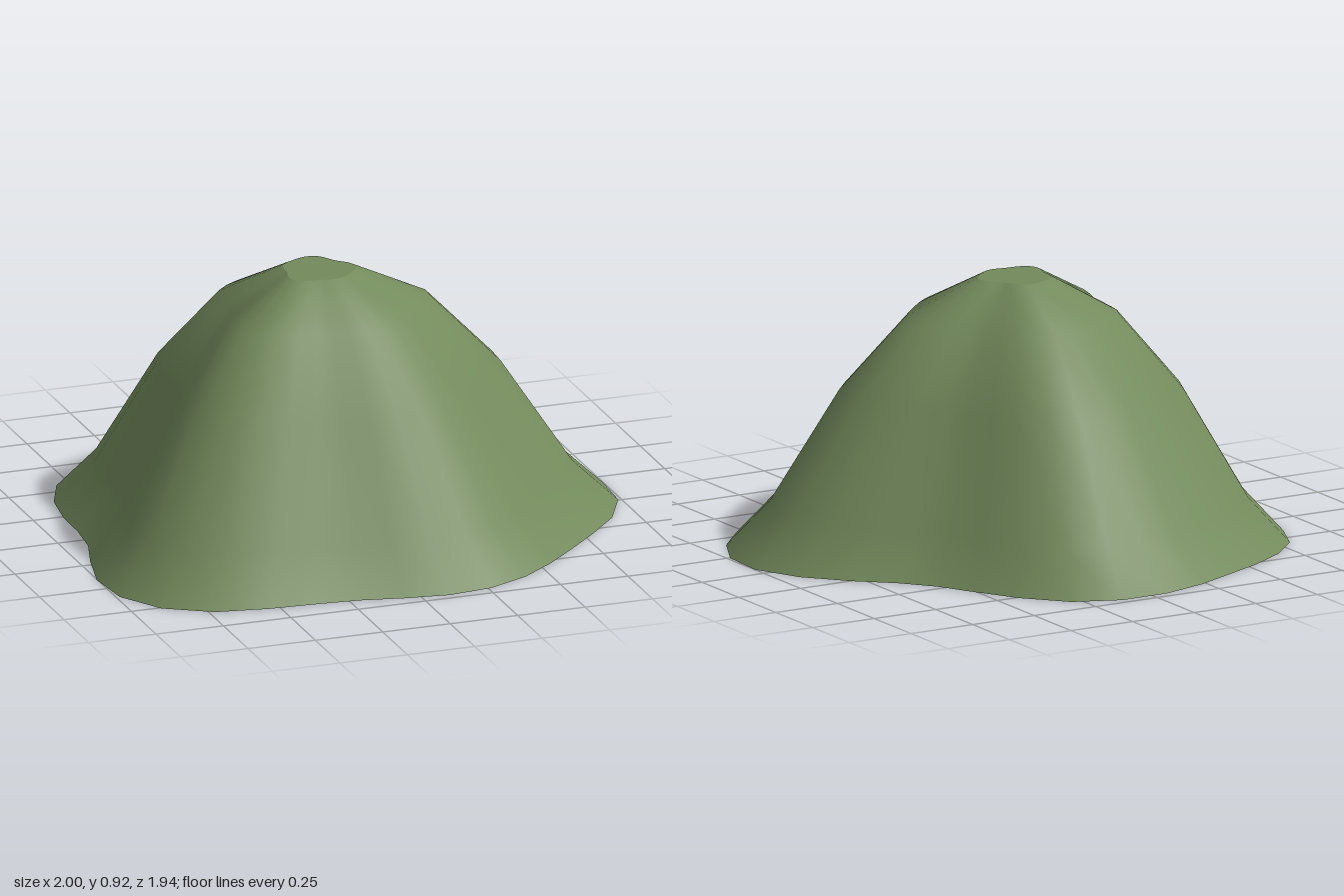
import * as THREE from 'three';

// Footprint radii every 10 degrees, clockwise from the back
const RADII = [
  1.027, 1.045, 1.022, 0.949, 0.877, 0.831, 0.843, 0.91, 0.994,
  1.059, 1.065, 1.028, 0.975, 0.945, 0.941, 0.949, 0.948, 0.925,
  0.888, 0.869, 0.895, 0.958, 1.04, 1.085, 1.071, 1.003, 0.913,
  0.85, 0.847, 0.885, 0.932, 0.967, 0.968, 0.96, 0.961, 0.992,
];
// Slope profile: [footprint scale, height]
const PROFILE = [[1, 0], [0.848, 0.155], [0.61, 0.54], [0.378, 0.795], [0.13, 0.92]];
const CENTRE = { x: -0.06, z: 0.06 };
const N = RADII.length;

function ring([scale, y]) {
  return RADII.flatMap((r, i) => {
    const a = (i / N) * Math.PI * 2;
    return [CENTRE.x + Math.sin(a) * r * scale, y, CENTRE.z - Math.cos(a) * r * scale];
  });
}

function makeGeometry(positions, index) {
  const geometry = new THREE.BufferGeometry();
  geometry.setAttribute('position', new THREE.Float32BufferAttribute(positions, 3));
  geometry.setIndex(index);
  geometry.computeVertexNormals();
  return geometry;
}

// Smooth skin joining the rings
function slopeGeometry() {
  const index = [];
  for (let j = 0; j < PROFILE.length - 1; j++) {
    for (let i = 0; i < N; i++) {
      const a = j * N + i, b = j * N + (i + 1) % N;
      index.push(a, a + N, b + N, a, b + N, b);
    }
  }
  return makeGeometry(PROFILE.flatMap(ring), index);
}

// Flat fan closing one ring
function capGeometry(level, up) {
  const index = [];
  for (let i = 0; i < N; i++) {
    const next = (i + 1) % N;
    index.push(N, up ? next : i, up ? i : next);
  }
  return makeGeometry([...ring(level), CENTRE.x, level[1], CENTRE.z], index);
}

export function createModel() {
  const grass = new THREE.MeshStandardMaterial({ color: 0x738a5c });
  grass.name = 'grass green';
  const hill = new THREE.Group();
  hill.name = 'hill';
  const add = (name, geometry) => {
    const mesh = new THREE.Mesh(geometry, grass);
    mesh.name = name;
    hill.add(mesh);
  };
  add('slopes', slopeGeometry());
  add('summit', capGeometry(PROFILE[PROFILE.length - 1], true));
  add('base', capGeometry(PROFILE[0], false));
  return hill;
}
